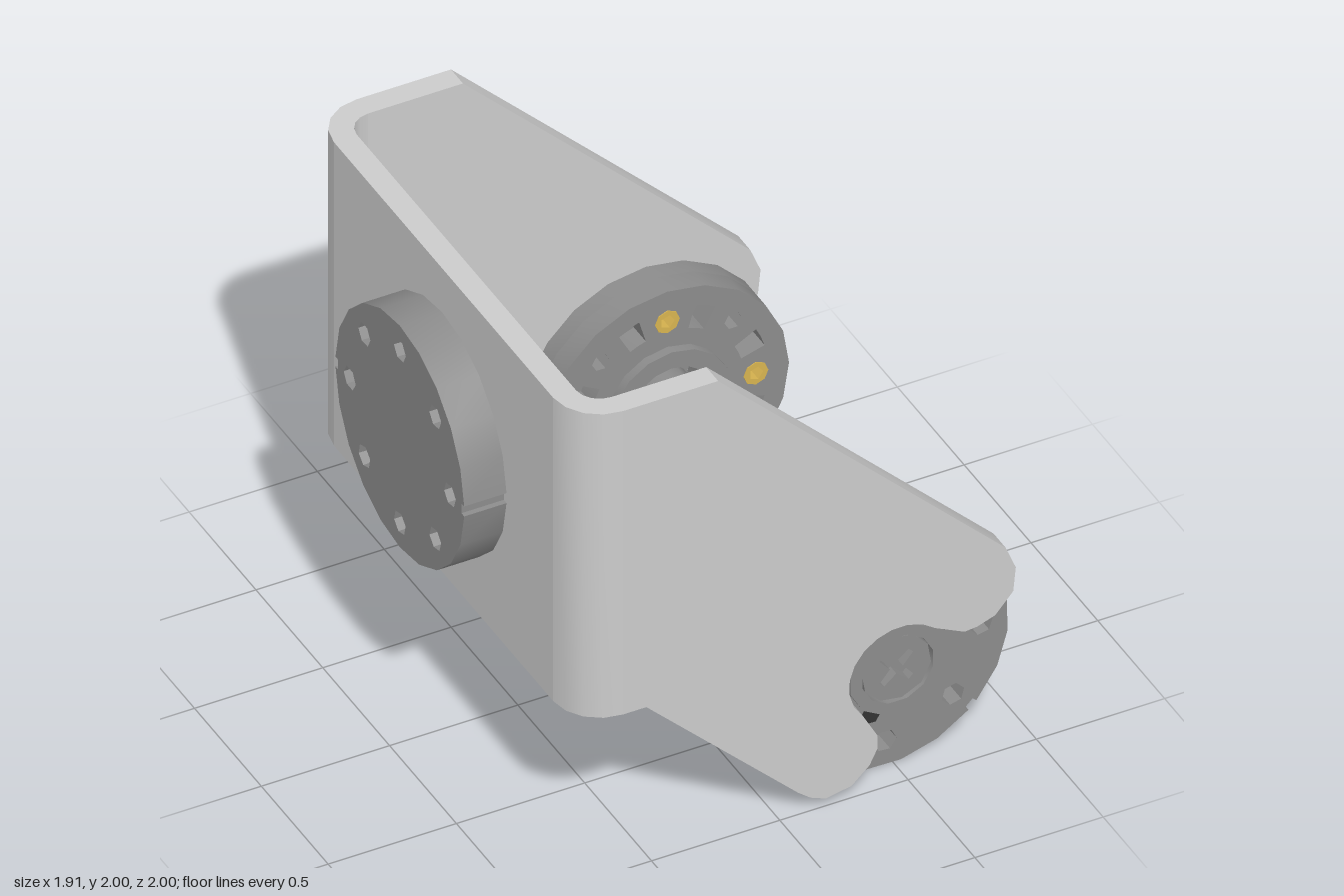
import * as THREE from 'three';
import { toCreasedNormals } from 'three/addons/utils/BufferGeometryUtils.js';

const grey = new THREE.MeshStandardMaterial({ color: 0xcccccc });
const dark = new THREE.MeshStandardMaterial({ color: 0x8c8c8c });
const black = new THREE.MeshStandardMaterial({ color: 0x333333 });
const brass = new THREE.MeshStandardMaterial({ color: 0xd8b450 });
const HX = 0.47, HY = 0.48; // pivot axis of the two arms
const V = (x, y) => new THREE.Vector2(x, y);
const polar = (r, a, x = 0, y = 0) => V(x + r * Math.cos(a), y + r * Math.sin(a));

// regular polygon / arc points
function ring(r, n, x = 0, y = 0, a0 = 0) {
  return Array.from({ length: n }, (_, i) => polar(r, a0 + (i / n) * Math.PI * 2, x, y));
}
function arc(r, a, b, n, x = 0, y = 0) {
  return Array.from({ length: n + 1 }, (_, i) => polar(r, a + ((b - a) * i) / n, x, y));
}
// flat part extruded from z0 to z1
function slab(name, points, holes, z0, z1, material, parent) {
  const shape = new THREE.Shape(points);
  holes.forEach((h) => shape.holes.push(new THREE.Path(h)));
  let geo = new THREE.ExtrudeGeometry(shape, { depth: z1 - z0, bevelEnabled: false });
  geo = toCreasedNormals(geo, 0.75);
  const mesh = new THREE.Mesh(geo, material);
  mesh.name = name;
  mesh.position.z = z0;
  parent.add(mesh);
  return mesh;
}
function cross(l, w) {
  const pts = [];
  for (let k = 0; k < 4; k++) {
    const a = (k * Math.PI) / 2;
    [[w, -w], [l, -w * 0.7], [l, w * 0.7]].forEach(([x, y]) =>
      pts.push(V(x, y).rotateAround(V(0, 0), a)));
  }
  return pts;
}

// disc with a small groove on two opposite sides of its rim
function groovedDisc(r) {
  const pts = [], g = 0.045;
  for (const a of [0, Math.PI]) {
    pts.push(polar(r - 0.02, a - g), polar(r - 0.02, a + g));
    pts.push(...arc(r, a + g, a + Math.PI - g, 10));
  }
  return pts;
}

// free-turning horn: plain face at z = 0, collar and screw towards +z
function idlerHorn(name) {
  const g = new THREE.Group();
  g.name = name;
  const holes = [];
  for (let i = 0; i < 8; i++) {
    const c = polar(0.375, (i * Math.PI) / 4);
    holes.push(ring(0.045, 6, c.x, c.y, i));
  }
  slab('hornDisc', groovedDisc(0.482), holes, 0, 0.165, dark, g);
  slab('hornCollar', ring(0.19, 12), [ring(0.142, 12)], 0.165, 0.26, dark, g);
  slab('screwBase', ring(0.14, 12), [], 0.165, 0.205, dark, g);
  slab('screwHead', ring(0.137, 10), [cross(0.08, 0.018)], 0.205, 0.25, dark, g);
  return g;
}

// driven horn: pocketed face and splined hub towards +z
function drivenHorn() {
  const g = new THREE.Group();
  g.name = 'drivenHorn';
  const through = [ring(0.17, 16)], pockets = [];
  for (let i = 0; i < 4; i++) {
    const a = (i * Math.PI) / 2;
    const b = polar(0.345, a), h = polar(0.365, a + Math.PI / 4);
    through.push(ring(0.048, 8, b.x, b.y), ring(0.035, 6, h.x, h.y));
    for (const d of [0.39, Math.PI / 2 - 0.39]) {
      pockets.push([...arc(0.395, a + d - 0.11, a + d + 0.11, 2), ...arc(0.3, a + d + 0.11, a + d - 0.11, 2)]);
    }
    slab('brassInsert', ring(0.048, 8, b.x, b.y), [ring(0.028, 5, b.x, b.y)], -0.002, 0.163, brass, g);
  }
  slab('hornBack', ring(0.475, 20), through, 0, 0.07, dark, g);
  slab('hornFace', ring(0.475, 20), [...through, ...pockets], 0.07, 0.16, dark, g);
  slab('rearCollar', ring(0.17, 14), [ring(0.13, 14)], -0.04, 0, dark, g);
  slab('hubRing', ring(0.235, 16), [ring(0.165, 16)], 0.1, 0.195, dark, g);
  slab('hubCore', ring(0.115, 12), [], 0.09, 0.185, dark, g);
  // bridges that join the core and the hub ring
  for (let i = 0; i < 3; i++) {
    const a = -0.3 + (i * Math.PI) / 2 - Math.PI;
    const m = slab('hubBridge', [V(0.09, -0.05), V(0.18, -0.05), V(0.18, 0.05), V(0.09, 0.05)], [], 0.1, 0.18, dark, g);
    m.rotation.z = a;
  }
  // shaft with a chamfered tip
  const profile = [V(0, 0.02), V(0.06, 0.02), V(0.07, 0.04), V(0.07, 0.32), V(0.058, 0.34), V(0, 0.34)];
  const shaft = new THREE.Mesh(toCreasedNormals(new THREE.LatheGeometry(profile, 10), 0.7), grey);
  shaft.name = 'shaft';
  shaft.rotation.x = Math.PI / 2;
  g.add(shaft);
  return g;
}

export function createModel() {
  const model = new THREE.Group();
  const bracket = new THREE.Group();
  bracket.name = 'bracket';
  model.add(bracket);

  // side arms, with a notch around the pivot
  const arm = [
    V(-0.61, 2), V(-0.61, 0.68), V(-0.52, 0.68), V(0.07, 0.1), V(0.12, 0.06), V(0.18, 0.035),
    V(0.28, 0.055), V(0.35, 0.12), V(0.38, 0.18), V(0.38, 0.24),
    ...arc(0.2, Math.PI * 1.24, Math.PI * 0.26, 10, HX, HY),
    V(0.72, 0.57), V(0.77, 0.575), V(0.84, 0.6), V(0.91, 0.68), V(0.92, 0.78), V(0.88, 0.88), V(-0.24, 2),
  ];
  slab('frontArm', arm, [], 0.91, 1, grey, bracket);
  slab('rearArm', arm, [ring(0.045, 8, 0.2, 0.75)], -1, -0.91, grey, bracket);

  // back plate, drawn in z-y and turned to face +x
  const back = new THREE.Group();
  back.name = 'backPlate';
  back.rotation.y = Math.PI / 2;
  back.position.x = -0.79;
  bracket.add(back);
  slab('plate', [V(-0.82, 0.68), V(0.82, 0.68), V(0.82, 2), V(-0.82, 2)],
    [ring(0.195, 14, 0, 1.335), ring(0.055, 6, 0, 1.71, Math.PI / 2)], 0, 0.09, grey, back);

  // rounded bends between plate and arms
  for (const s of [-1, 1]) {
    const a = Math.PI, b = Math.PI - (s * Math.PI) / 2;
    const bend = slab('bend', [...arc(0.18, a, b, 4, -0.61, -s * -0.82), ...arc(0.09, b, a, 4, -0.61, s * 0.82)],
      [], 0, 1.32, grey, bracket);
    bend.rotation.x = Math.PI / 2;
    bend.position.set(0, 2, 0);
  }

  // horn on the back plate
  const backHorn = idlerHorn('backHorn');
  backHorn.rotation.y = Math.PI / 2;
  backHorn.position.set(-0.96, 1.335, 0);
  model.add(backHorn);

  // horn inside the front arm
  const frontHorn = idlerHorn('frontHorn');
  frontHorn.rotation.z = -Math.PI / 4;
  frontHorn.position.set(HX, 0.482, 0.72);
  model.add(frontHorn);
  for (const [x, y] of [[0.24, 0.07], [-0.06, -0.235]]) {
    slab('pin', ring(0.033, 6, HX + x, HY + y), [], 0.88, 0.9, black, model);
  }

  // horn inside the rear arm
  const driven = drivenHorn();
  driven.position.set(HX, HY, -0.905);
  model.add(driven);
  return model;
}
